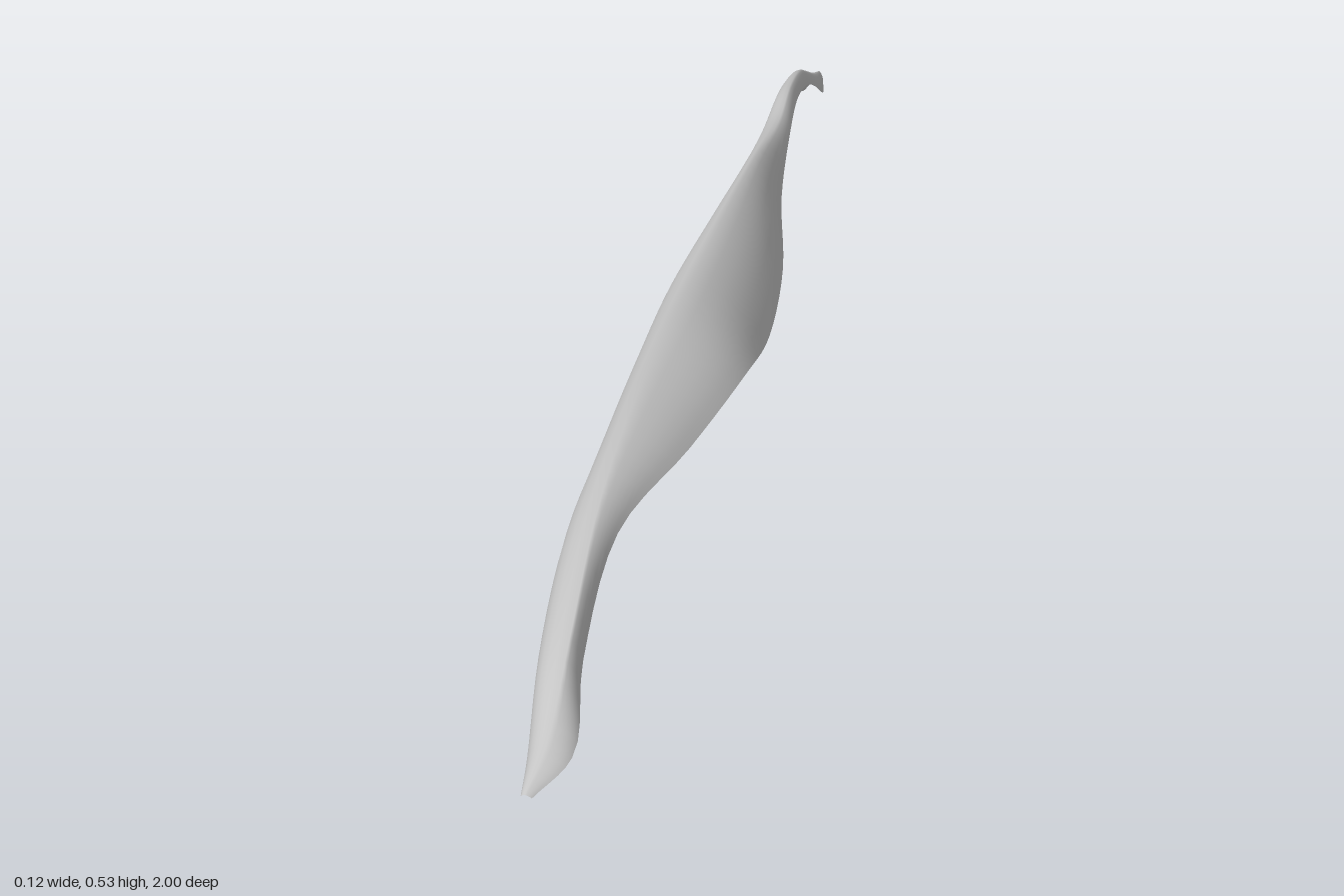
import * as THREE from 'three';

// Cross-sections, front to back: z, left edge x/y, ridge x/y, right edge x/y
const SECTIONS = [
  [1.00, 0.002, 0.523, 0.006, 0.526, 0.012, 0.523],
  [0.94, -0.006, 0.506, 0.012, 0.531, 0.035, 0.521],
  [0.80, -0.026, 0.500, 0.004, 0.535, 0.016, 0.512],
  [0.60, -0.045, 0.468, -0.012, 0.520, 0.008, 0.500],
  [0.40, -0.051, 0.410, -0.020, 0.490, 0.040, 0.455],
  [0.20, -0.055, 0.376, -0.022, 0.445, 0.060, 0.400],
  [0.00, -0.058, 0.335, -0.024, 0.390, 0.054, 0.310],
  [-0.20, -0.050, 0.292, -0.026, 0.335, 0.036, 0.258],
  [-0.40, -0.046, 0.240, -0.030, 0.270, 0.002, 0.218],
  [-0.60, -0.053, 0.176, -0.034, 0.194, -0.020, 0.178],
  [-0.72, -0.055, 0.150, -0.040, 0.167, -0.030, 0.150],
  [-0.82, -0.056, 0.110, -0.044, 0.128, -0.033, 0.108],
  [-0.90, -0.062, 0.060, -0.048, 0.078, -0.034, 0.055],
  [-0.96, -0.060, 0.008, -0.047, 0.038, -0.033, 0.010],
  [-1.00, -0.050, 0.005, -0.045, 0.016, -0.040, 0.006],
];

// Smooth lengthwise curve through one edge or the ridge
const rail = (k) => new THREE.CatmullRomCurve3(
  SECTIONS.map((s) => new THREE.Vector3(s[k], s[k + 1], s[0])), false, 'centripetal');

function leafGeometry() {
  const rows = (SECTIONS.length - 1) * 5, half = 6, cols = half * 2;
  const [left, ridge, right] = [rail(1), rail(3), rail(5)];
  const positions = [], indices = [];
  for (let i = 0; i <= rows; i++) {
    const t = i / rows;
    const L = left.getPoint(t), M = ridge.getPoint(t), R = right.getPoint(t);
    // Steep wall on one side of the ridge, broad rounded slope on the other
    const wall = new THREE.QuadraticBezierCurve3(
      L, new THREE.Vector3(L.x, M.y * 0.85 + L.y * 0.15, (L.z + M.z) / 2), M);
    const slope = new THREE.QuadraticBezierCurve3(
      M, new THREE.Vector3(M.x * 0.35 + R.x * 0.65, M.y * 0.75 + R.y * 0.25, (M.z + R.z) / 2), R);
    for (let j = 0; j <= cols; j++) {
      const p = j <= half ? wall.getPoint(j / half) : slope.getPoint((j - half) / half);
      positions.push(p.x, p.y, p.z);
    }
  }
  for (let i = 0; i < rows; i++) {
    for (let j = 0; j < cols; j++) {
      const a = i * (cols + 1) + j, c = a + cols + 1;
      indices.push(a, a + 1, c, a + 1, c + 1, c);
    }
  }
  const geometry = new THREE.BufferGeometry();
  geometry.setAttribute('position', new THREE.Float32BufferAttribute(positions, 3));
  geometry.setIndex(indices);
  geometry.computeVertexNormals();
  return geometry;
}

export function createModel() {
  const group = new THREE.Group();
  group.name = 'curledLeaf';
  // Open trough-shaped blade tapering into its stalk
  const blade = new THREE.Mesh(leafGeometry(),
    new THREE.MeshStandardMaterial({ color: 0xcccccc, side: THREE.DoubleSide }));
  blade.name = 'leafBlade';
  group.add(blade);
  return group;
}
